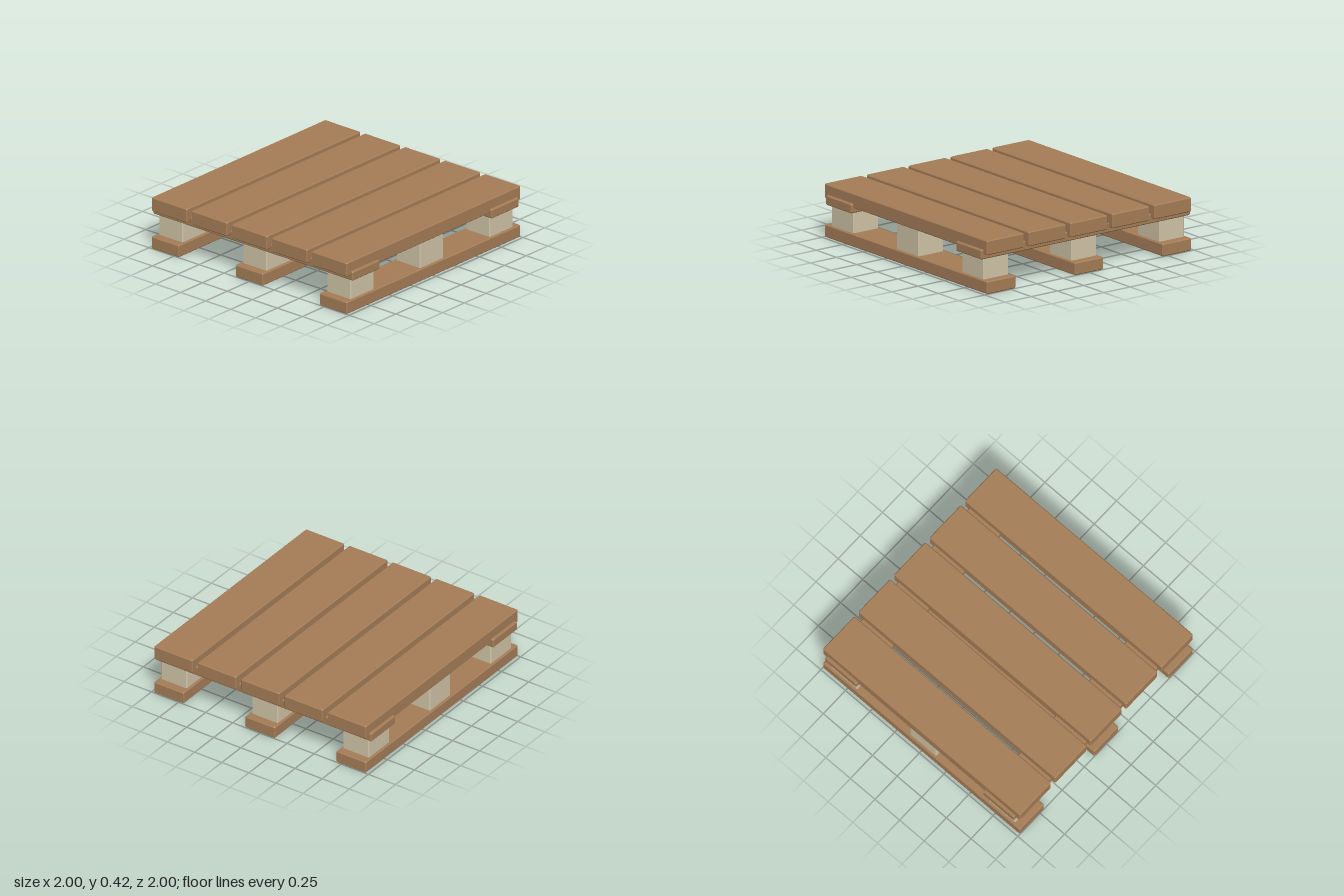
import * as THREE from 'three';

const wood = new THREE.MeshStandardMaterial({ color: 0xa47c56, flatShading: true });
const paleWood = new THREE.MeshStandardMaterial({ color: 0xcfc3a6, flatShading: true });

// Box with all edges chamfered by c, or only the upright edges when capBevel is false
function chamferedBox(w, h, d, c, capBevel = true) {
  const inset = capBevel ? c : 0;
  const x = w / 2 - inset, z = d / 2 - inset;
  const k = capBevel ? c * 0.4 : c;
  const shape = new THREE.Shape([
    [x - k, -z], [x, -z + k], [x, z - k], [x - k, z],
    [-x + k, z], [-x, z - k], [-x, -z + k], [-x + k, -z],
  ].map(([a, b]) => new THREE.Vector2(a, b)));
  const depth = h - 2 * inset;
  const geometry = new THREE.ExtrudeGeometry(shape, {
    depth, bevelEnabled: capBevel, bevelSize: c, bevelThickness: c, bevelSegments: 1,
  });
  return geometry.translate(0, 0, -depth / 2).rotateX(-Math.PI / 2);
}

export function createModel() {
  const pallet = new THREE.Group();
  pallet.name = 'pallet';

  const add = (name, geometry, material, x, y, z) => {
    const mesh = new THREE.Mesh(geometry, material);
    mesh.name = name;
    mesh.position.set(x, y, z);
    pallet.add(mesh);
  };

  // Five deck boards running front to back
  const deck = chamferedBox(0.355, 0.115, 2, 0.008);
  for (let i = -2; i <= 2; i++) add('deckBoard', deck, wood, i * 0.4, 0.3625, 0);

  // Two cross boards let into the underside of the deck
  const cross = chamferedBox(2, 0.075, 0.315, 0.008);
  for (const z of [-0.8, 0.8]) add('crossBoard', cross, wood, 0, 0.303, z);

  // Three bottom runners, each carrying three spacer blocks
  const runner = chamferedBox(0.275, 0.1, 2, 0.008);
  const outerBlock = chamferedBox(0.24, 0.18, 0.272, 0.008, false);
  const middleBlock = chamferedBox(0.24, 0.22, 0.272, 0.008, false);
  for (const x of [-0.84, 0, 0.84]) {
    add('runner', runner, wood, x, 0.05, 0);
    for (const z of [-0.8, 0.8]) add('outerBlock', outerBlock, paleWood, x, 0.185, z);
    add('middleBlock', middleBlock, paleWood, x, 0.2, 0);
  }
  return pallet;
}
